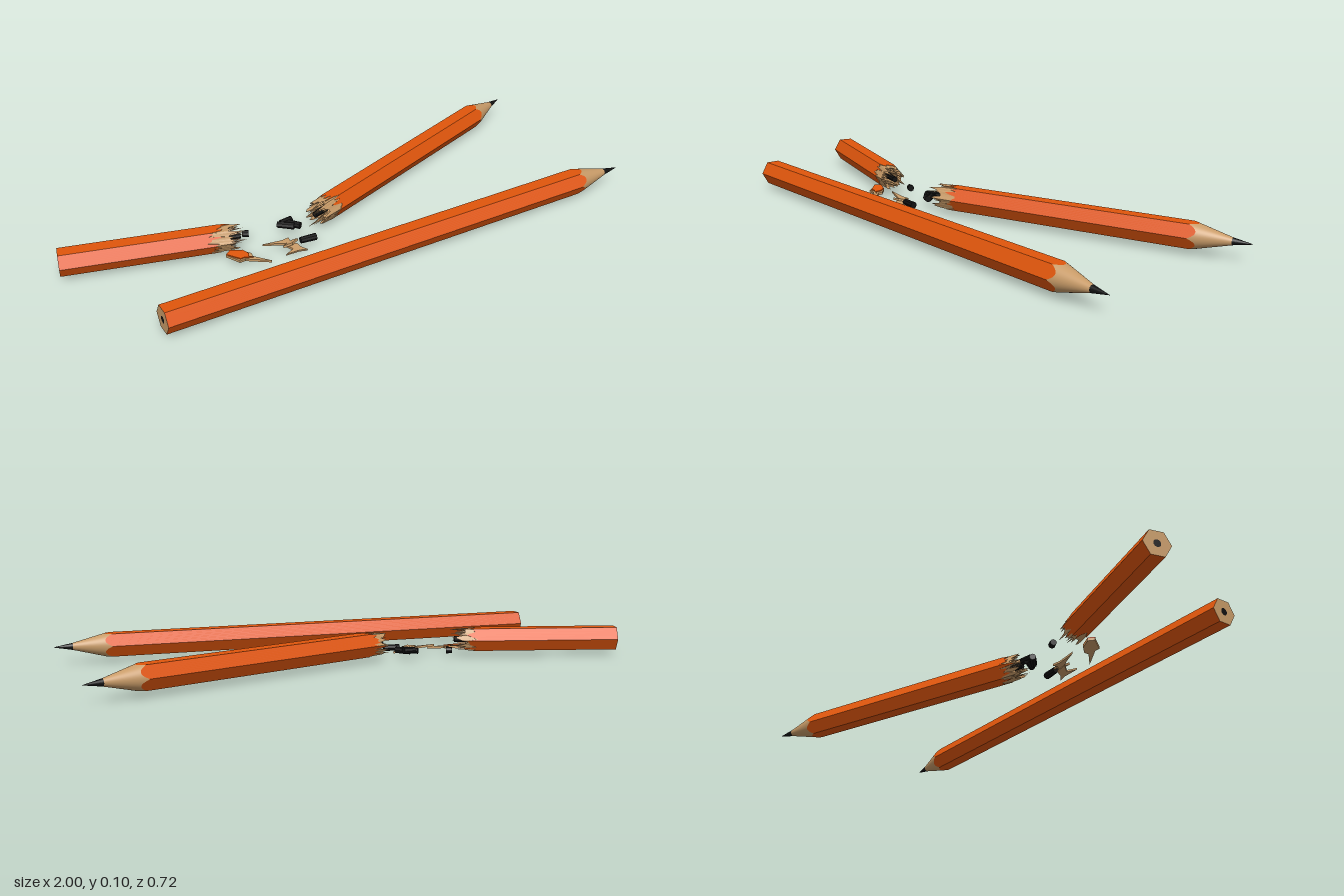
import * as THREE from 'three';

const paint = new THREE.MeshStandardMaterial({ color: 0xe0560c, flatShading: true, side: THREE.DoubleSide });
const wood = new THREE.MeshStandardMaterial({ color: 0xc89b68, side: THREE.DoubleSide });
const rough = new THREE.MeshStandardMaterial({ color: 0xc89b68, flatShading: true, side: THREE.DoubleSide });
const lead = new THREE.MeshStandardMaterial({ color: 0x111111, flatShading: true, side: THREE.DoubleSide });

const N = 48, FLAT = 0.041, CORNER = FLAT / Math.cos(Math.PI / 6), CORE = 0.0125;
const BUTT = -0.81, SHOULDER = 0.8, WOOD_END = 0.935, TIP = 1, AXIS_Y = 0.065;

function seeded(s) {
  return () => (s = (s * 16807) % 2147483647) / 2147483647;
}

// Radius of the hexagonal section, corners pointing along z
const hex = (t) => FLAT / Math.cos((t % (Math.PI / 3)) - Math.PI / 6);

// Skin through closed rings around the x axis; each ring gives [x, radius] at angle t, index i
function skin(rings) {
  const pos = [], idx = [];
  rings.forEach((ring, j) => {
    for (let i = 0; i < N; i++) {
      const t = (i / N) * Math.PI * 2;
      const [x, r] = ring(t, i);
      pos.push(x, r * Math.sin(t), r * Math.cos(t));
      if (j === 0) continue;
      const k = (i + 1) % N, a = (j - 1) * N + i, b = (j - 1) * N + k, c = j * N + k, d = j * N + i;
      idx.push(a, d, b, d, c, b);
    }
  });
  const g = new THREE.BufferGeometry();
  g.setAttribute('position', new THREE.Float32BufferAttribute(pos, 3));
  g.setIndex(idx);
  g.computeVertexNormals();
  return g;
}

function add(group, name, geometry, material) {
  const m = new THREE.Mesh(geometry, material);
  m.name = name;
  group.add(m);
  return m;
}

// Cut end with bare wood and the lead core
function addButt(group) {
  add(group, 'buttCore', skin([() => [BUTT, 0], () => [BUTT, CORE]]), lead);
  add(group, 'buttWood', skin([() => [BUTT, CORE], (t) => [BUTT, hex(t)]]), rough);
  return (t) => [BUTT, hex(t)];
}

// Sharpened end: a cone cutting the hexagon gives the scalloped paint edge
function addPoint(group) {
  const edge = (t) => [
    SHOULDER + ((CORNER - hex(t)) / (CORNER - CORE)) * (WOOD_END - SHOULDER), hex(t)];
  add(group, 'sharpenedWood', skin([edge, () => [WOOD_END, CORE]]), wood);
  add(group, 'leadTip', skin([() => [WOOD_END, CORE], () => [TIP, 0.0005]]), lead);
  return edge;
}

// Splintered end around x, opening towards dir
function addBreak(group, x, dir, reach, seed) {
  const rnd = seeded(seed);
  const edges = [], tips = [], dips = [];
  for (let i = 0; i < N; i++) {
    const lean = 0.02 * Math.cos((i / N) * Math.PI * 2 - Math.PI);
    edges.push(x + dir * (lean + 0.045 * (rnd() - 0.5) + (i % 5 === 0 ? 0.03 : 0)));
    tips.push(x + dir * (0.035 + reach * 0.5 * rnd() ** 2 + (i % 7 === 0 ? reach * 0.35 : 0)));
    dips.push(x + dir * (0.03 * rnd() - 0.01));
  }
  const edge = (t, i) => [edges[i], hex(t)];
  const rings = [
    edge,
    (t, i) => [edges[i], hex(t) * 0.96],
    (t, i) => [Math.max(tips[i] * dir, edges[i] * dir + 0.004) * dir, hex(t) * 0.92],
    (t, i) => [dips[i], hex(t) * 0.68],
    (t, i) => [tips[(i + 11) % N] - dir * 0.02, hex(t) * 0.5],
    () => [x - dir * 0.02, CORE],
  ];
  add(group, 'splitWood', skin(dir > 0 ? rings : rings.reverse()), rough);

  // Long loose splinters
  for (let i = 0; i < 11; i++) {
    const len = reach * (0.6 + 0.6 * rnd());
    const g = new THREE.ConeGeometry(0.005 + 0.004 * rnd(), len, 4);
    g.translate(0, len / 2, 0).rotateZ(-dir * Math.PI / 2);
    const t = (i / 11) * Math.PI * 2 + rnd() * 0.4, r = 0.02 + 0.014 * rnd();
    const s = add(group, 'splinter', g, rough);
    s.position.set(x + dir * 0.005, r * Math.sin(t), r * Math.cos(t));
    s.rotation.set(0, (rnd() - 0.5) * 0.14, (rnd() - 0.5) * 0.14);
  }
  // Snapped core
  const core = new THREE.CylinderGeometry(CORE * 0.85, CORE, reach + 0.01, 8).rotateZ(-dir * Math.PI / 2);
  add(group, 'brokenCore', core, lead).position.x = x + dir * (reach / 2 - 0.015);
  return edge;
}

function pencil(name, start, end) {
  const group = new THREE.Group();
  group.name = name;
  add(group, 'paintedBody', skin([start(group), end(group)]), paint);
  return group;
}

// Flat jagged chip outlined in x, z
function chip(name, points, depth, material) {
  const shape = new THREE.Shape(points.map(([x, z]) => new THREE.Vector2(x, z)));
  const g = new THREE.ExtrudeGeometry(shape, { depth, bevelEnabled: false }).rotateX(Math.PI / 2);
  const m = new THREE.Mesh(g, material);
  m.name = name;
  return m;
}

export function createModel() {
  const model = new THREE.Group();

  const whole = pencil('wholePencil', addButt, addPoint);
  whole.position.set(0, AXIS_Y, 0.312);

  const front = pencil('brokenPointHalf', (g) => addBreak(g, -0.085, -1, 0.085, 71), addPoint);
  front.position.set(0.024, AXIS_Y, -0.024);
  front.rotation.y = 0.346;

  const rear = pencil('brokenRearHalf', addButt, (g) => addBreak(g, -0.29, 1, 0.09, 1234));
  rear.position.set(-0.203, AXIS_Y, 0.07);
  rear.rotation.y = -0.262;
  model.add(whole, front, rear);

  // Painted chip with its wooden underside
  const painted = new THREE.Group();
  painted.name = 'paintedChip';
  const top = chip('chipPaint', [[-0.06, -0.025], [-0.04, -0.04], [0.0, -0.025], [0.012, 0.0], [0.005, 0.012],
    [0.018, 0.022], [-0.012, 0.012], [-0.025, 0.014]], 0.004, paint);
  const under = chip('chipWood', [[-0.06, -0.025], [-0.04, -0.04], [0.0, -0.025], [0.022, -0.002], [0.02, 0.015],
    [0.068, 0.06], [0.015, 0.032], [-0.01, 0.018], [-0.03, 0.02]], 0.009, rough);
  under.position.y = -0.004;
  painted.add(top, under);
  painted.position.set(-0.42, 0.033, 0.083);
  painted.rotation.set(0.12, 0, -0.04);
  model.add(painted);

  // Wood chips: outline, position, tilt
  const chips = [
    [[[-0.07, -0.015], [0.0, -0.012], [0.03, -0.018], [0.026, 0.0], [0.04, 0.012], [0.0, 0.008], [-0.02, 0.0]],
      [-0.28, 0.034, 0.085], [0.1, 0, -0.08]],
    [[[-0.03, -0.02], [0.015, -0.015], [0.022, 0.005], [0.04, 0.022], [0.01, 0.018], [-0.045, 0.022], [-0.01, 0.006]],
      [-0.25, 0.021, 0.112], [0.3, 0, -0.12]],
    [[[-0.03, -0.008], [0.02, -0.01], [0.035, 0.003], [0.0, 0.008]], [-0.26, 0.035, 0.1], [-0.3, 0.4, 0.1]],
  ];
  for (const [points, p, r] of chips) {
    const c = chip('woodChip', points, 0.008, rough);
    c.position.set(...p);
    c.rotation.set(...r);
    model.add(c);
  }

  // Lead crumbs: x, y, z, length, heading
  const crumbs = [
    [-0.225, 0.037, 0.0, 0.06, -0.7], [-0.2, 0.037, 0.003, 0.06, -0.95],
    [-0.215, 0.04, -0.018, 0.045, 0.1], [-0.193, 0.031, 0.103, 0.058, -0.1], [-0.367, 0.034, -0.028, 0.022, -0.4],
  ];
  for (const [x, y, z, len, heading] of crumbs) {
    const g = new THREE.CylinderGeometry(CORE * 0.9, CORE, len, 8).rotateZ(Math.PI / 2);
    const c = add(model, 'leadCrumb', g, lead);
    c.position.set(x, y, z);
    c.rotation.y = heading;
  }
  return model;
}
